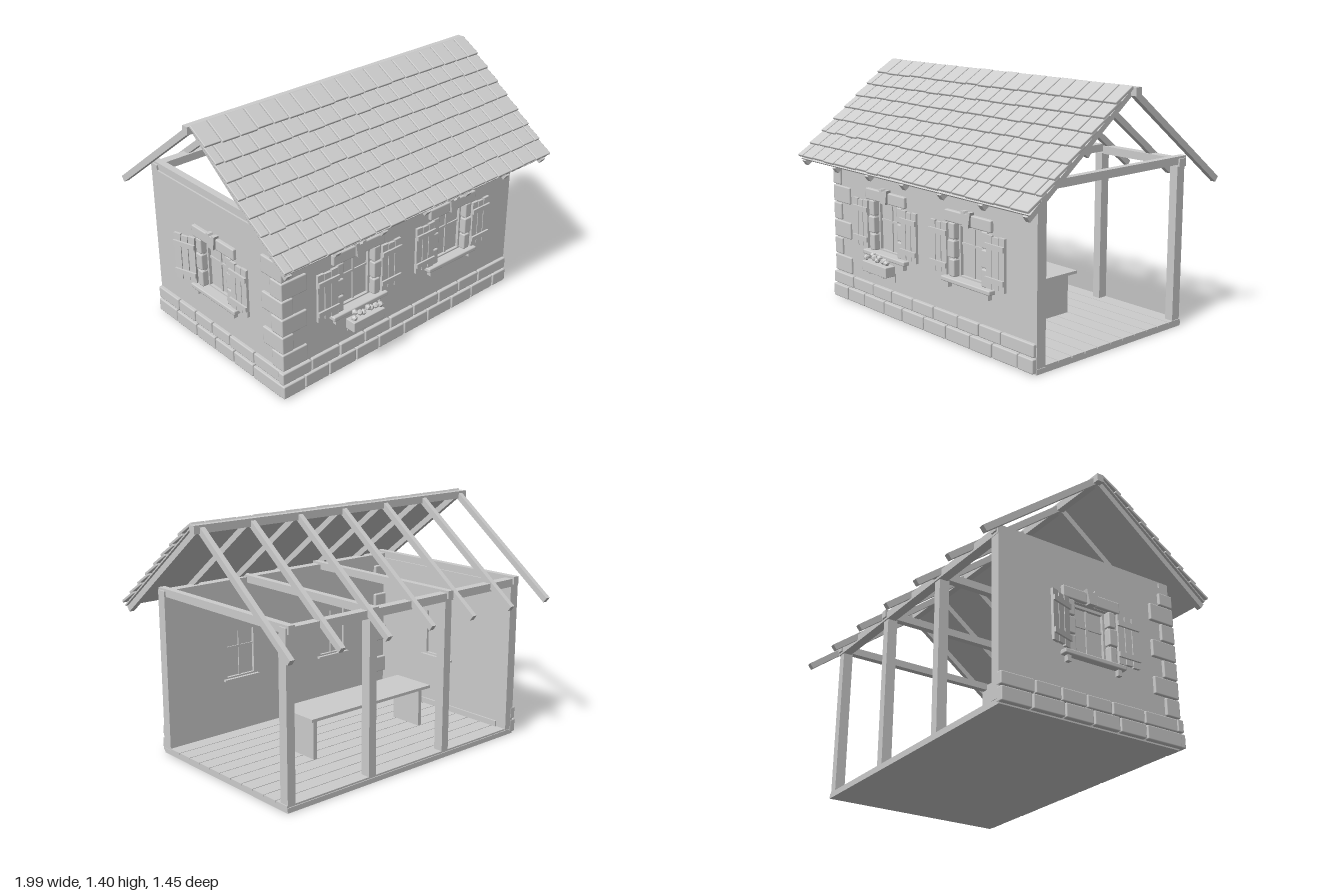
import * as THREE from 'three';
import { mergeGeometries } from 'three/addons/utils/BufferGeometryUtils.js';
import { RoundedBoxGeometry } from 'three/addons/geometries/RoundedBoxGeometry.js';

const grey = new THREE.MeshStandardMaterial({ color: 0xcccccc });
grey.name = 'plainGrey';

let seed = 7;
const rand = () => (seed = (seed * 16807) % 2147483647) / 2147483647;

function add(parent, name, geometry) {
  const mesh = new THREE.Mesh(geometry, grey);
  mesh.name = name;
  parent.add(mesh);
  return mesh;
}
function group(parent, name) {
  const g = new THREE.Group();
  g.name = name;
  parent.add(g);
  return g;
}
// Box given by its limits on each axis
const boxGeo = (x0, x1, y0, y1, z0, z1) => new THREE.BoxGeometry(x1 - x0, y1 - y0, z1 - z0)
  .translate((x0 + x1) / 2, (y0 + y1) / 2, (z0 + z1) / 2);
const box = (parent, name, ...b) => add(parent, name, boxGeo(...b));
const stoneGeo = (x0, x1, y0, y1, z0, z1, r = 0.007) =>
  new RoundedBoxGeometry(x1 - x0, y1 - y0, z1 - z0, 1, r)
    .translate((x0 + x1) / 2, (y0 + y1) / 2, (z0 + z1) / 2);

// Wall with window holes; outer face on local z = 0
function wall(parent, x0, x1, centres) {
  const s = new THREE.Shape([[x0, 0.03], [x1, 0.03], [x1, 0.905], [x0, 0.905]].map(p => new THREE.Vector2(...p)));
  for (const c of centres) {
    s.holes.push(new THREE.Path([[c - 0.113, 0.36], [c - 0.113, 0.66], [c + 0.113, 0.66], [c + 0.113, 0.36]]
      .map(p => new THREE.Vector2(...p))));
  }
  add(parent, 'wall', new THREE.ExtrudeGeometry(s, { depth: 0.06, bevelEnabled: false }).translate(0, 0, -0.06));
}

// Two courses of stones along the foot of a wall
function footing(parent, x0, x1) {
  const parts = [];
  [[0.008, 0.085, 0.024], [0.092, 0.162, 0.018]].forEach(([y0, y1, out], row) => {
    let x = x0;
    while (x < x1 - 0.02) {
      let end = x + (row && x === x0 ? 0.2 : 0.15 + rand() * 0.06);
      if (x1 - end < 0.09) end = x1;
      parts.push(stoneGeo(x, end - 0.006, y0, y1, -0.02, out + rand() * 0.003));
      x = end;
    }
  });
  add(parent, 'footingStones', mergeGeometries(parts));
}

function shutter(parent, side, angle) {
  const g = group(parent, 'shutter');
  g.position.set(side * 0.155, 0, 0.012);
  g.rotation.y = -side * angle;
  for (let i = 0; i < 3; i++) {
    const x = side * (0.024 + i * 0.047);
    box(g, 'shutterPlank', x - 0.021, x + 0.021, 0.375 + 0.005 * (i % 2), 0.655 - 0.005 * (i % 2), 0, 0.015);
  }
  for (const y of [0.425, 0.6]) {
    box(g, 'shutterBatten', Math.min(0, side * 0.14), Math.max(0, side * 0.14), y - 0.014, y + 0.014, 0.015, 0.026);
  }
}

// Window with frame, glass, stone surround and shutters
function windowUnit(parent, x, openAngle = 0) {
  const g = group(parent, 'window');
  g.position.x = x;
  for (const s of [-1, 1]) {
    box(g, 'frameSide', s * 0.105 - 0.009, s * 0.105 + 0.009, 0.36, 0.66, -0.06, -0.02);
    // Jamb stones, the middle one wider
    [[0.572, 0.66, 0.152], [0.47, 0.565, 0.172], [0.368, 0.463, 0.152]].forEach(([y0, y1, w]) => {
      add(g, 'jambStone', stoneGeo(Math.min(s * 0.108, s * w), Math.max(s * 0.108, s * w), y0, y1, -0.03, 0.018));
    });
    add(g, 'lintelStone', stoneGeo(Math.min(s * 0.028, s * 0.183), Math.max(s * 0.028, s * 0.183), 0.662, 0.727, -0.03, 0.02));
    box(g, 'sillBracket', s * 0.16 - 0.012, s * 0.16 + 0.012, 0.308, 0.342, -0.01, 0.025);
    shutter(g, s, s < 0 ? openAngle : 0);
  }
  box(g, 'frameTop', -0.113, 0.113, 0.645, 0.66, -0.06, -0.02);
  box(g, 'frameBottom', -0.113, 0.113, 0.36, 0.375, -0.06, -0.02);
  box(g, 'glass', -0.1, 0.1, 0.37, 0.65, -0.043, -0.037);
  box(g, 'uprightBar', -0.006, 0.006, 0.37, 0.65, -0.05, -0.03);
  box(g, 'crossBar', -0.1, 0.1, 0.542, 0.554, -0.05, -0.03);
  box(g, 'innerSill', -0.123, 0.123, 0.355, 0.366, -0.08, -0.03);
  add(g, 'sill', stoneGeo(-0.195, 0.195, 0.34, 0.367, -0.03, 0.04));
  // Tapered keystone
  const key = new THREE.Shape([[-0.022, 0.66], [0.022, 0.66], [0.037, 0.742], [0.014, 0.742], [0.01, 0.73],
    [-0.01, 0.73], [-0.014, 0.742], [-0.037, 0.742]].map(p => new THREE.Vector2(...p)));
  add(g, 'keystone', new THREE.ExtrudeGeometry(key, { depth: 0.04, bevelEnabled: false }).translate(0, 0, -0.01));
  return g;
}

// Flower box under a window
function flowerBox(parent) {
  const g = group(parent, 'flowerBox');
  add(g, 'planter', stoneGeo(-0.112, 0.112, 0.267, 0.327, 0.035, 0.102, 0.004));
  for (const x of [-0.065, 0.065]) {
    box(g, 'planterArm', x - 0.005, x + 0.005, 0.255, 0.267, -0.005, 0.09);
    box(g, 'planterStay', x - 0.005, x + 0.005, 0.215, 0.267, -0.005, 0.008);
  }
  for (let i = 0; i < 8; i++) {
    const f = add(g, 'flower', new THREE.IcosahedronGeometry(0.018, 0));
    f.position.set(-0.095 + i * 0.027, 0.338 + rand() * 0.022, 0.055 + rand() * 0.03);
    f.rotation.set(rand() * 3, rand() * 3, 0);
  }
}

const SLOPE = 0.655;
const RAFTER_X = [-0.945, -0.63, -0.315, 0, 0.315, 0.63, 0.945];

// Sloping frame: local z runs down the slope
function slope(parent, name, turn) {
  const outer = group(parent, name);
  outer.position.y = 1.372;
  outer.rotation.y = turn;
  const g = group(outer, name + 'Slope');
  g.rotation.x = SLOPE;
  for (const x of RAFTER_X) box(g, 'rafter', x - 0.015, x + 0.015, -0.018, 0.017, 0, 0.89);
  return g;
}

export function createModel() {
  const model = new THREE.Group();
  model.name = 'cottage';

  // Floor
  box(model, 'floorSlab', -0.86, 0.86, 0, 0.028, -0.56, 0.55);
  for (let i = 0; i < 11; i++) {
    const z = -0.555 + i * 0.0955;
    box(model, 'floorBoard', -0.8, 0.86, 0.026, 0.038, z, z + 0.091);
  }

  // Front wall
  const front = group(model, 'frontWall');
  front.position.z = 0.55;
  wall(front, -0.86, 0.86, [-0.355, 0.358]);
  footing(front, -0.885, 0.862);
  flowerBox(windowUnit(front, -0.355));
  windowUnit(front, 0.358);

  // Side wall
  const side = group(model, 'sideWall');
  side.position.x = -0.86;
  side.rotation.y = -Math.PI / 2;
  wall(side, -0.56, 0.49, [0]);
  footing(side, -0.562, 0.555);
  windowUnit(side, 0, 0.3);
  box(model, 'skirting', -0.8, -0.79, 0.038, 0.072, -0.49, 0.48);

  // Corner stones, alternately long on each face
  for (let i = 0; i < 7; i++) {
    const y = 0.17 + i * 0.106, wide = i % 2 === 0;
    add(model, 'cornerStone', stoneGeo(-0.876, wide ? -0.71 : -0.8, y, Math.min(y + 0.1, 0.88),
      wide ? 0.47 : 0.4, 0.563));
  }

  // Posts, plates and tie beams
  for (const x of [-0.83, -0.28, 0.28, 0.83]) {
    box(model, 'post', x - 0.025, x + 0.025, 0.036, 0.91, -0.555, -0.497);
    box(model, 'tieBeam', x - 0.02, x + 0.02, 0.918, 0.962, -0.572, 0.56);
  }
  box(model, 'backPlate', -0.86, 0.86, 0.905, 0.95, -0.562, -0.508);
  box(model, 'frontPlate', -0.86, 0.86, 0.905, 0.95, 0.49, 0.55);
  box(model, 'sidePlate', -0.86, -0.8, 0.903, 0.92, -0.56, 0.55);

  // Roof frame
  box(model, 'ridgeBeam', -0.995, 0.995, 1.345, 1.388, -0.022, 0.018);
  slope(model, 'backRafters', Math.PI);
  const roof = slope(model, 'frontRoof', 0);
  box(roof, 'roofDeck', -0.975, 0.975, 0.016, 0.024, 0, 0.88);

  // Overlapping tiles in eight staggered rows
  const tiles = [];
  for (let row = 0; row < 8; row++) {
    const low = 0.88 - (7 - row) * 0.105;
    let x = -0.988;
    while (x < 0.985) {
      const first = x === -0.988 && row % 2 === 1;
      let end = x + (first ? 0.055 : 0.098 + rand() * 0.016);
      if (0.985 - end < 0.035) end = 0.985;
      const len = 0.136 + rand() * 0.008;
      tiles.push(new RoundedBoxGeometry(end - x - 0.006, 0.016, len, 1, 0.004)
        .rotateX(-0.12)
        .translate((x + end) / 2, 0.039, low - 0.07 + rand() * 0.005));
      x = end;
    }
  }
  add(roof, 'roofTiles', mergeGeometries(tiles));

  // Bench
  const bench = group(model, 'bench');
  box(bench, 'benchTop', -0.52, 0.4, 0.27, 0.287, -0.205, 0.07);
  for (const x of [-0.47, 0.35]) box(bench, 'benchLeg', x - 0.012, x + 0.012, 0.038, 0.27, -0.172, 0.04);

  return model;
}
